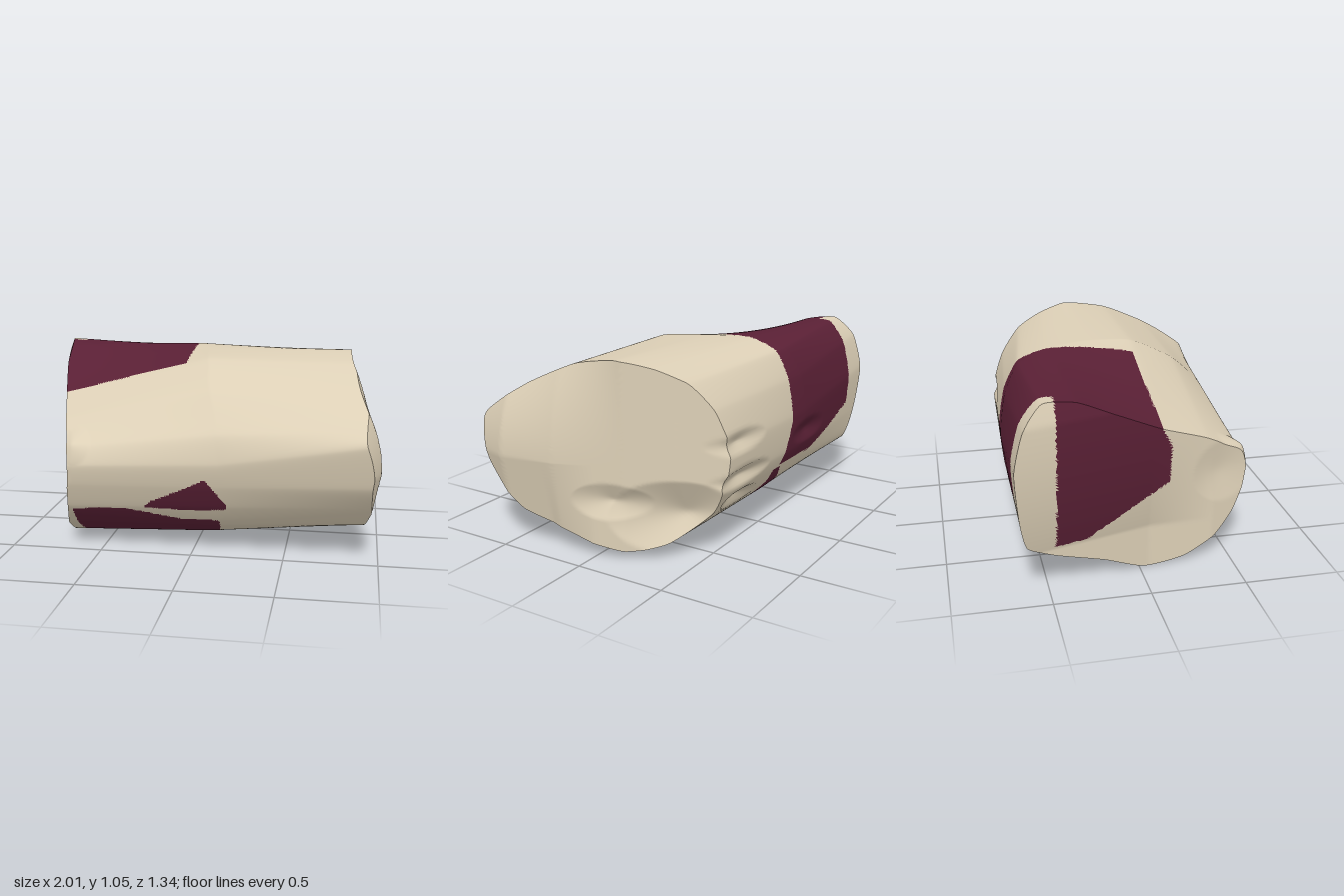
import * as THREE from 'three';

const SEGS = 240;
const ramp = (v, from, to) => THREE.MathUtils.clamp((v - from) / (to - from), 0, 1);

// Cross-sections as [z, y], from the front ridge over the top and round the back
const leftRim = [[.6, .5], [.55, .59], [.36, .7], [.1, .8], [-.15, .92], [-.35, 1.01], [-.52, 1.03], [-.62, .92], [-.67, .72],
  [-.65, .45], [-.61, .28], [-.47, .2], [-.2, .1], [.03, 0], [.25, .03], [.42, .13], [.52, .25], [.58, .39]];
const middle = [[.61, .54], [.57, .69], [.38, .88], [.12, 1.015], [-.15, 1.04], [-.38, 1.035], [-.55, .98], [-.63, .83], [-.66, .62],
  [-.64, .42], [-.57, .27], [-.42, .13], [-.2, .06], [.03, .045], [.25, .06], [.42, .15], [.52, .28], [.58, .41]];
const rightRim = [[.67, .67], [.61, .74], [.38, .89], [.12, 1.01], [-.12, 1.05], [-.3, 1.015], [-.45, .945], [-.56, .81], [-.625, .62],
  [-.61, .42], [-.53, .25], [-.35, .09], [-.15, .045], [.1, .1], [.28, .15], [.42, .2], [.53, .32], [.62, .45]];

// Closed smooth loop sampled so that the three sections line up
function loop(points) {
  const curve = new THREE.CatmullRomCurve3(points.map(([z, y]) => new THREE.Vector3(0, y, z)), true, 'catmullrom', 0.3);
  return Array.from({ length: SEGS }, (_, j) => curve.getPoint(j / SEGS));
}
const loops = [leftRim, middle, rightRim].map(loop);

// Slanted end surfaces: x as a function of height and depth
const leftX = (y, z) =>
  -.82 + .28 * z + Math.min(.08, .25 * (y - .8) ** 2) * ramp(z, .4, .05) + .25 * Math.max(0, y - .93);
const rightStops = [[-.68, .5], [-.6, .58], [-.4, .7], [-.15, .82], [.2, .95], [.5, 1], [.68, .95]];
function rightX(y, z) {
  let k = 0;
  while (k < rightStops.length - 2 && z > rightStops[k + 1][0]) k++;
  const [[z0, x0], [z1, x1]] = [rightStops[k], rightStops[k + 1]];
  const flat = x0 + (x1 - x0) * (z - z0) / (z1 - z0);
  const top = 1.2 * Math.max(0, y - .5) ** 2 * Math.max(0, z + .15);
  const foot = .2 * Math.max(0, .5 - y) * ramp(z, 0, .25);
  return flat - top - foot;
}

// Crumples: centre, radii and push
const dents = [
  [[-.72, .5, .48], [.12, .18, .2], [.02, 0, -.03]],
  [[-.62, .6, .58], [.09, .1, .2], [0, .02, .02]],
  [[.85, .31, -.08], [.3, .1, .2], [-.05, 0, 0]],
  [[.68, .24, -.38], [.3, .2, .38], [-.12, 0, 0]],
  [[.45, .62, -.65], [.25, .06, .2], [0, 0, .04]],
  [[.4, .42, -.65], [.28, .06, .2], [0, 0, .05]],
  [[.35, .27, -.56], [.2, .06, .2], [0, .02, .04]],
  [[-.3, .5, -.65], [.2, .07, .2], [0, 0, .03]],
];
function crumple(p) {
  const q = p.clone();
  for (const [c, r, push] of dents) {
    const d = Math.hypot((p.x - c[0]) / r[0], (p.y - c[1]) / r[1], (p.z - c[2]) / r[2]);
    if (d < 1) q.addScaledVector(new THREE.Vector3(...push), 1 - d);
  }
  return q;
}

// Point on the side wall, t running from the left rim to the right rim
function wallPoint(t, j) {
  const k = t < .5 ? 0 : 1;
  const p = loops[k][j].clone().lerp(loops[k + 1][j], t * 2 - k);
  p.x = THREE.MathUtils.lerp(leftX(p.y, p.z), rightX(p.y, p.z), t);
  return p;
}

// Point on an end, s = 0 at the middle and 1 at the rim
function endPoint(rim, xAt, s, j) {
  const y = .52 + (rim[j].y - .52) * s, z = rim[j].z * s;
  return new THREE.Vector3(xAt(y, z), y, z);
}

function inside(poly, u, v) {
  let hit = false;
  for (let i = 0, k = poly.length - 1; i < poly.length; k = i++) {
    const [a, b] = poly[i], [c, d] = poly[k];
    if ((b > v) !== (d > v) && u < (c - a) * (v - b) / (d - b) + a) hit = !hit;
  }
  return hit;
}

// Dark patches: upper back corner, underside and a small front wedge
const underside = [[-.65, .7], [.15, .7], [.15, .42], [.02, -.66], [-.03, -.62], [-.27, -.42], [-.58, -.02], [-.65, .25]];
const wedge = [[-.25, .265], [-.22, .3], [-.05, .38], [.09, .45], [.12, .41], [.2, .3], [.19, .27], [0, .255]];
function isDark({ x, y, z }) {
  const corner = x < -.83 && z < -.46;
  const lower = z < -.46 ? .35 + .17 * ramp(x, -.4, -.8) : .25 + .55 * Math.max(0, z + .3);
  const edge = -.09 + .06 * ramp(y, .6, .35);
  const front = .1 + .05 * ramp(y, .8, .7);
  if (x < edge && z < front && !corner && y > lower) return true;
  if (z > .3 && inside(wedge, x, y)) return true;
  const upper = z < 0 ? .34 : .25 - .06 * ramp(x, -.35, -.05) - .02 * ramp(x, -.5, -.65);
  return y < upper && inside(underside, x, z);
}

// Grid of rows that close round, with its faces sorted into two colours
function patchedGrid(rows, pointAt) {
  const pts = [], faces = [[], []];
  for (let i = 0; i <= rows; i++)
    for (let j = 0; j < SEGS; j++) pts.push(crumple(pointAt(i / rows, j)));
  const add = (a, b, c) => {
    const mid = pts[a].clone().add(pts[b]).add(pts[c]).divideScalar(3);
    faces[isDark(mid) ? 1 : 0].push(a, b, c);
  };
  for (let i = 0; i < rows; i++)
    for (let j = 0; j < SEGS; j++) {
      const n = (j + 1) % SEGS, a = i * SEGS + j, c = i * SEGS + n;
      add(a, a + SEGS, c);
      add(a + SEGS, c + SEGS, c);
    }
  const g = new THREE.BufferGeometry().setFromPoints(pts);
  g.setIndex([...faces[0], ...faces[1]]);
  g.addGroup(0, faces[0].length, 0);
  g.addGroup(faces[0].length, faces[1].length, 1);
  g.computeVertexNormals();
  return g;
}

export function createModel() {
  const cream = new THREE.MeshStandardMaterial({ color: 0xdccfb6 });
  cream.name = 'cream';
  const maroon = new THREE.MeshStandardMaterial({ color: 0x5a2035 });
  maroon.name = 'maroon';

  const model = new THREE.Group();
  model.name = 'crumpledContainer';
  const part = (name, rows, pointAt) => {
    const mesh = new THREE.Mesh(patchedGrid(rows, pointAt), [cream, maroon]);
    mesh.name = name;
    model.add(mesh);
  };
  part('sideWall', 170, wallPoint);
  part('rightHandEnd', 40, (t, j) => endPoint(loops[0], leftX, t, j));
  part('leftHandEnd', 40, (t, j) => endPoint(loops[2], rightX, 1 - t, j));
  return model;
}
